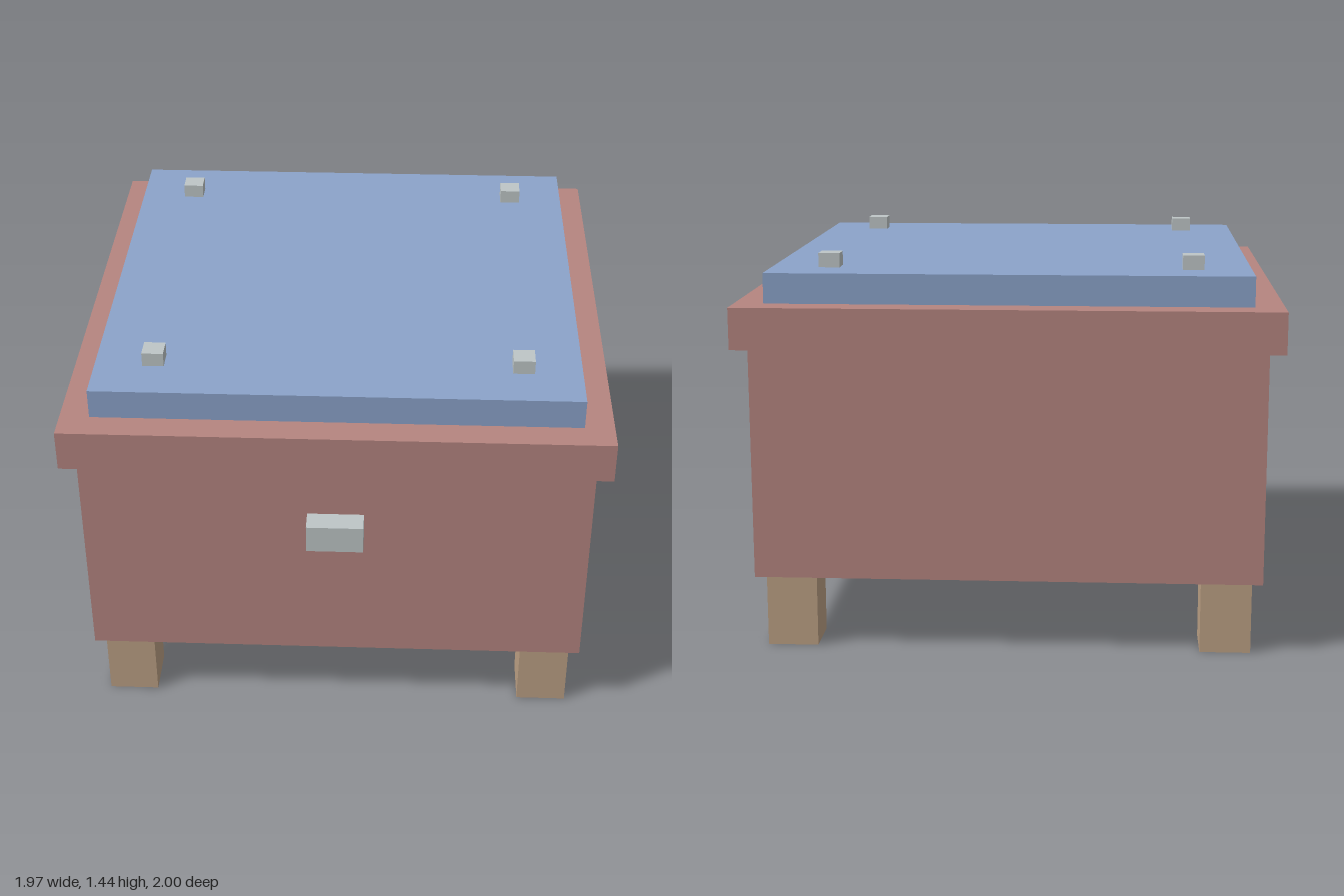
import * as THREE from 'three';

const CZ = -0.014; // the latch projects forward, so the chest sits slightly back

function material(name, color) {
  const m = new THREE.MeshStandardMaterial({ color });
  m.name = name;
  return m;
}

export function createModel() {
  const group = new THREE.Group();
  const rose = material('rose', 0xb58580);
  const blue = material('blue', 0x8ba3ca);
  const tan = material('tan', 0xbca084);
  const silver = material('silver', 0xbec6c7);

  // Box resting on height y0
  function box(name, mat, w, d, y0, y1, x = 0, z = CZ) {
    const mesh = new THREE.Mesh(new THREE.BoxGeometry(w, y1 - y0, d), mat);
    mesh.name = name;
    mesh.position.set(x, (y0 + y1) / 2, z);
    group.add(mesh);
  }

  // Chest body, overhanging rim and raised lid panel
  box('body', rose, 1.86, 1.86, 0.272, 1.128);
  box('rim', rose, 1.97, 1.97, 1.128, 1.28);
  box('lidPanel', blue, 1.756, 1.756, 1.28, 1.39);

  // Corner legs and lid studs
  for (const sx of [-1, 1]) {
    for (const sz of [-1, 1]) {
      const corner = (sz > 0 ? 'Front' : 'Back') + (sx > 0 ? 'Left' : 'Right');
      box('leg' + corner, tan, 0.186, 0.186, 0, 0.272, sx * 0.8, CZ + sz * 0.8);
      box('stud' + corner, silver, 0.078, 0.078, 1.39, 1.442, sx * 0.666, CZ + sz * 0.666);
    }
  }

  // Front latch
  box('latch', silver, 0.207, 0.084, 0.805, 0.912, 0, 0.958);

  return group;
}
